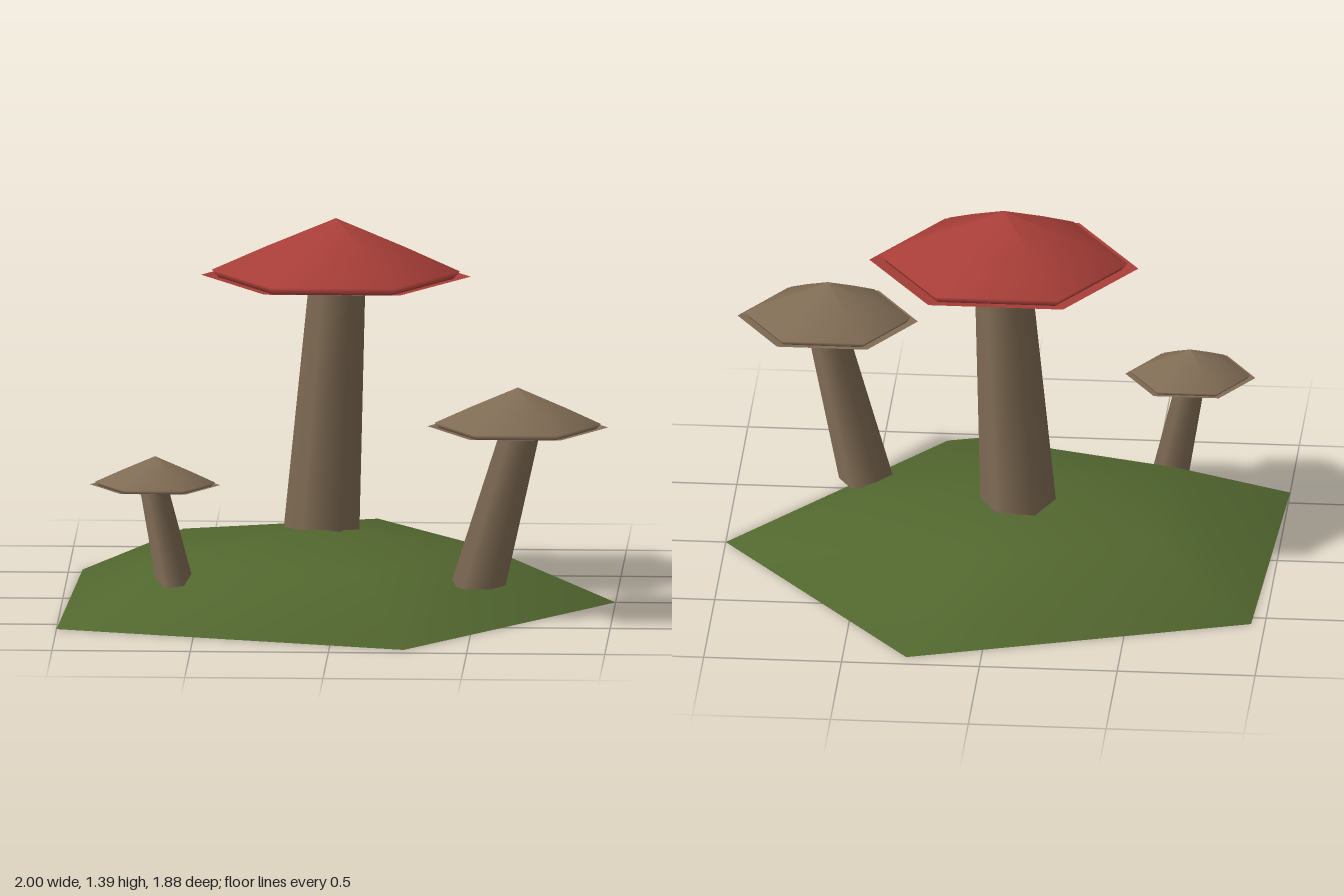
import * as THREE from 'three';

const mat = (name, color) => {
  const m = new THREE.MeshStandardMaterial({ color, side: THREE.DoubleSide });
  m.name = name;
  return m;
};

// Six-sided lathe with a corner on +x
function hexLathe(name, points, material) {
  const profile = points.map(([r, y]) => new THREE.Vector2(r, y));
  const mesh = new THREE.Mesh(new THREE.LatheGeometry(profile, 6, Math.PI / 2), material);
  mesh.name = name;
  return mesh;
}

// Leaning, tapering hexagonal stem between two centres
function makeStem(bottom, top, rBottom, rTop, material) {
  const [a, b] = [new THREE.Vector3(...bottom), new THREE.Vector3(...top)];
  const h = b.y - a.y;
  const geo = new THREE.CylinderGeometry(rTop, rBottom, h, 6, 1, false, Math.PI / 2);
  geo.translate(0, h / 2, 0);
  const p = geo.attributes.position;
  for (let i = 0; i < p.count; i++) {
    const t = p.getY(i) / h;
    p.setX(i, p.getX(i) + a.x + (b.x - a.x) * t);
    p.setZ(i, p.getZ(i) + a.z + (b.z - a.z) * t);
    p.setY(i, p.getY(i) + a.y);
  }
  const mesh = new THREE.Mesh(geo, material);
  mesh.name = 'stem';
  return mesh;
}

// Cap: domed crown resting in a slightly wider shallow underside
function makeCap({ x, z, r, rim, apex, base, depth }, skin, gill) {
  const cap = new THREE.Group();
  cap.name = 'cap';
  const rise = apex - rim, drop = rim - base;
  const under = (k) => [r * k, base + drop * k];
  cap.add(hexLathe('crown', [
    [r * 0.87, rim - drop * 0.12],
    [r * 0.92, rim + rise * 0.09],
    [r * 0.52, rim + rise * 0.5],
    [0, apex],
  ], skin));
  cap.add(hexLathe('undersideRim', [under(0.57), under(1)], skin));
  cap.add(hexLathe('gills', [under(0.25), under(0.57)], gill));
  cap.add(hexLathe('undersideCentre', [under(0), under(0.25)], skin));
  cap.position.set(x, 0, z);
  cap.scale.z = depth;
  return cap;
}

// Five-cornered mound, open below
function makeMound(material) {
  const corners = [[1, 0], [0.27, -0.94], [-0.95, -0.555], [-1, 0.59], [0.27, 0.94]];
  const cx = -0.08, cz = 0.01, n = corners.length;
  const pos = [], idx = [];
  for (const [k, y] of [[1, 0], [0.57, 0.2]]) {
    for (const [x, z] of corners) pos.push(cx + (x - cx) * k, y, cz + (z - cz) * k);
  }
  pos.push(cx, 0.272, cz);
  for (let i = 0; i < n; i++) {
    const j = (i + 1) % n;
    idx.push(i, j, n + j, i, n + j, n + i, n + i, n + j, 2 * n);
  }
  const geo = new THREE.BufferGeometry();
  geo.setAttribute('position', new THREE.Float32BufferAttribute(pos, 3));
  geo.setIndex(idx);
  geo.computeVertexNormals();
  const mesh = new THREE.Mesh(geo, material);
  mesh.name = 'mound';
  return mesh;
}

export function createModel() {
  const green = mat('grass green', 0x52672f);
  const red = mat('cap red', 0xa83e38);
  const tan = mat('stem brown', 0x806c55);

  const model = new THREE.Group();
  model.name = 'mushroomMound';
  model.add(makeMound(green));

  const mushrooms = [
    { name: 'largeMushroom', skin: red,
      stem: [[-0.07, 0.2, -0.08], [-0.012, 1.13, -0.077], 0.139, 0.103],
      cap: { x: -0.015, z: -0.08, r: 0.488, rim: 1.18, apex: 1.392, base: 1.108, depth: 0.888 } },
    { name: 'mediumMushroom', skin: tan,
      stem: [[0.515, 0.122, 0.322], [0.667, 0.69, 0.4], 0.1, 0.073],
      cap: { x: 0.662, z: 0.397, r: 0.327, rim: 0.72, apex: 0.865, base: 0.672, depth: 0.91 } },
    { name: 'smallMushroom', skin: tan,
      stem: [[-0.573, 0.115, 0.405], [-0.65, 0.49, 0.463], 0.069, 0.052],
      cap: { x: -0.648, z: 0.463, r: 0.236, rim: 0.51, apex: 0.615, base: 0.475, depth: 0.91 } },
  ];
  for (const { name, skin, stem, cap } of mushrooms) {
    const g = new THREE.Group();
    g.name = name;
    g.add(makeStem(...stem, tan), makeCap(cap, skin, tan));
    model.add(g);
  }
  return model;
}
